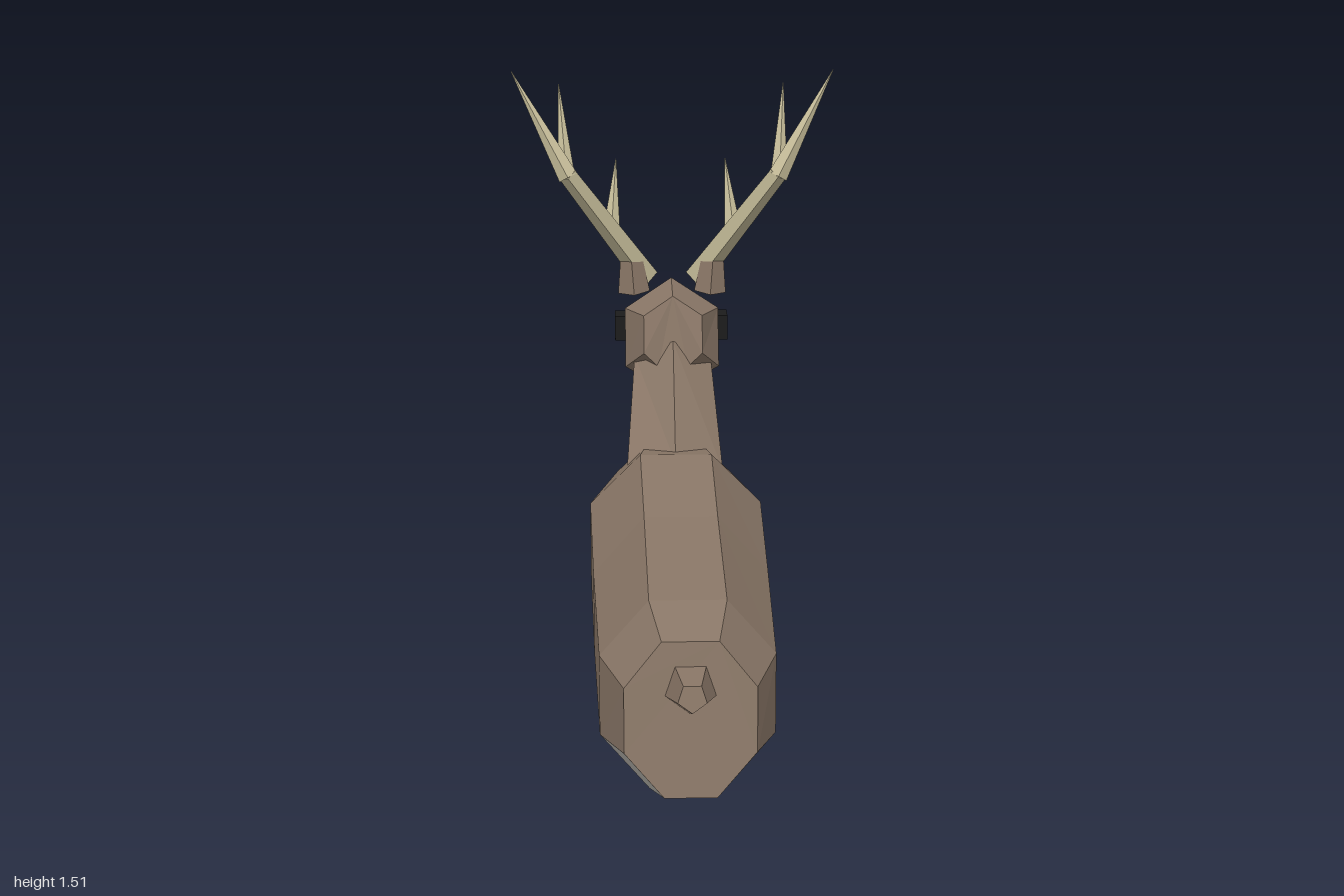
import * as THREE from 'three';

const mat = (color) => new THREE.MeshStandardMaterial({ color, flatShading: true });
const brown = mat(0x8b7868), pale = mat(0xc6c3bb), horn = mat(0xc4bb98), black = mat(0x1c1c1c);

// Each ring lists [x, y, z] from top to bottom for x >= 0; the other half is mirrored.
function fullRing(half) {
  const mirrored = half.filter((p) => p[0] > 0).reverse().map(([x, y, z]) => [-x, y, z]);
  return [...half, ...mirrored];
}

// Skins rings running towards -z; keep(strip) selects the lengthwise strips to build.
function loft(name, halves, material, { keep = () => true, caps = true } = {}) {
  const rings = halves.map(fullRing), n = rings[0].length, pos = [];
  const tri = (...points) => points.forEach((p) => pos.push(...p));
  for (let r = 0; r < rings.length - 1; r++) {
    const a = rings[r], b = rings[r + 1];
    for (let i = 0; i < n; i++) {
      if (!keep(i)) continue;
      const j = (i + 1) % n;
      tri(a[i], a[j], b[i]);
      tri(a[j], b[j], b[i]);
    }
  }
  if (caps) {
    const first = rings[0], last = rings[rings.length - 1];
    for (let i = 1; i < n - 1; i++) {
      tri(first[0], first[i + 1], first[i]);
      tri(last[0], last[i], last[i + 1]);
    }
  }
  const geo = new THREE.BufferGeometry();
  geo.setAttribute('position', new THREE.Float32BufferAttribute(pos, 3));
  geo.computeVertexNormals();
  const mesh = new THREE.Mesh(geo, material);
  mesh.name = name;
  return mesh;
}

// Tapered prism from one point to another
function limb(name, from, to, r0, r1, sides, material) {
  const a = new THREE.Vector3(...from), b = new THREE.Vector3(...to);
  const dir = b.clone().sub(a);
  const mesh = new THREE.Mesh(new THREE.CylinderGeometry(r1, r0, dir.length(), sides), material);
  mesh.position.copy(a).add(b).multiplyScalar(0.5);
  mesh.quaternion.setFromUnitVectors(new THREE.Vector3(0, 1, 0), dir.normalize());
  mesh.name = name;
  return mesh;
}

export function createModel() {
  const model = new THREE.Group();
  model.name = 'deer';

  // Body: octagonal rings from rump to chest, pale underneath
  const body = [
    [[0.065, 0.46, 0.87], [0.15, 0.355, 0.885], [0.15, 0.205, 0.905], [0.06, 0.1, 0.92]],
    [[0.09, 0.49, 0.7], [0.205, 0.355, 0.7], [0.205, 0.16, 0.71], [0.09, 0.02, 0.71]],
    [[0.092, 0.51, 0.2], [0.22, 0.36, 0.2], [0.22, 0.15, 0.2], [0.095, 0.003, 0.2]],
    [[0.095, 0.535, -0.21], [0.23, 0.385, -0.25], [0.23, 0.16, -0.26], [0.1, 0, -0.27]],
    [[0.07, 0.49, -0.45], [0.155, 0.4, -0.47], [0.155, 0.25, -0.5], [0.065, 0.14, -0.525]],
  ];
  const belly = (i) => i >= 2 && i <= 4;
  model.add(loft('body', body, brown, { keep: (i) => !belly(i) }));
  model.add(loft('belly', body, pale, { keep: belly, caps: false }));

  // Neck: six-sided with a ridge on top and a pale throat
  const neck = [
    [[0, 0.5, -0.235], [0.13, 0.46, -0.3], [0.11, 0.38, -0.44], [0, 0.25, -0.48]],
    [[0, 0.775, -0.47], [0.105, 0.72, -0.53], [0.085, 0.66, -0.62], [0, 0.64, -0.655]],
  ];
  const throat = (i) => i === 2 || i === 3;
  model.add(loft('neck', neck, brown, { keep: (i) => !throat(i) }));
  model.add(loft('throat', neck, pale, { keep: throat, caps: false }));

  // Head, tapering to the muzzle
  const muzzle = [[0, 0.68, -0.972], [0.063, 0.65, -0.97], [0.06, 0.575, -0.945], [0.035, 0.525, -0.92]];
  model.add(loft('head', [
    [[0, 0.895, -0.5], [0.08, 0.845, -0.48], [0.08, 0.745, -0.455], [0.04, 0.705, -0.46]],
    [[0, 0.91, -0.65], [0.13, 0.83, -0.62], [0.13, 0.68, -0.55], [0.05, 0.605, -0.64]],
    muzzle,
  ], brown));
  model.add(loft('nose', [
    muzzle,
    [[0, 0.66, -1], [0.052, 0.635, -0.995], [0.05, 0.575, -0.975], [0.03, 0.525, -0.955]],
  ], black));

  // Tail
  model.add(limb('tail', [0, 0.35, 0.86], [0, 0.378, 0.993], 0.066, 0.034, 5, brown));

  // Eyes and antlers on both sides
  for (const s of [1, -1]) {
    const side = s > 0 ? 'left' : 'right';
    const eye = new THREE.Mesh(new THREE.BoxGeometry(0.06, 0.07, 0.065), black);
    eye.position.set(s * 0.128, 0.765, -0.675);
    eye.name = side + 'Eye';
    model.add(eye);

    const antler = new THREE.Group();
    antler.name = side + 'Antler';
    const part = (name, [x0, ...p], [x1, ...q], r0, r1, sides, m = horn) =>
      antler.add(limb(name, [s * x0, ...p], [s * x1, ...q], r0, r1, sides, m));
    part('pedicle', [0.105, 0.89, -0.585], [0.112, 0.985, -0.58], 0.046, 0.032, 5, brown);
    part('beam', [0.07, 0.925, -0.61], [0.283, 1.245, -0.465], 0.036, 0.026, 5);
    part('beamTip', [0.28, 1.235, -0.465], [0.43, 1.512, -0.52], 0.028, 0.001, 5);
    part('upperTine', [0.285, 1.235, -0.47], [0.307, 1.455, -0.655], 0.023, 0.001, 4);
    part('lowerTine', [0.165, 1.08, -0.55], [0.152, 1.235, -0.715], 0.022, 0.001, 4);
    model.add(antler);
  }
  return model;
}
